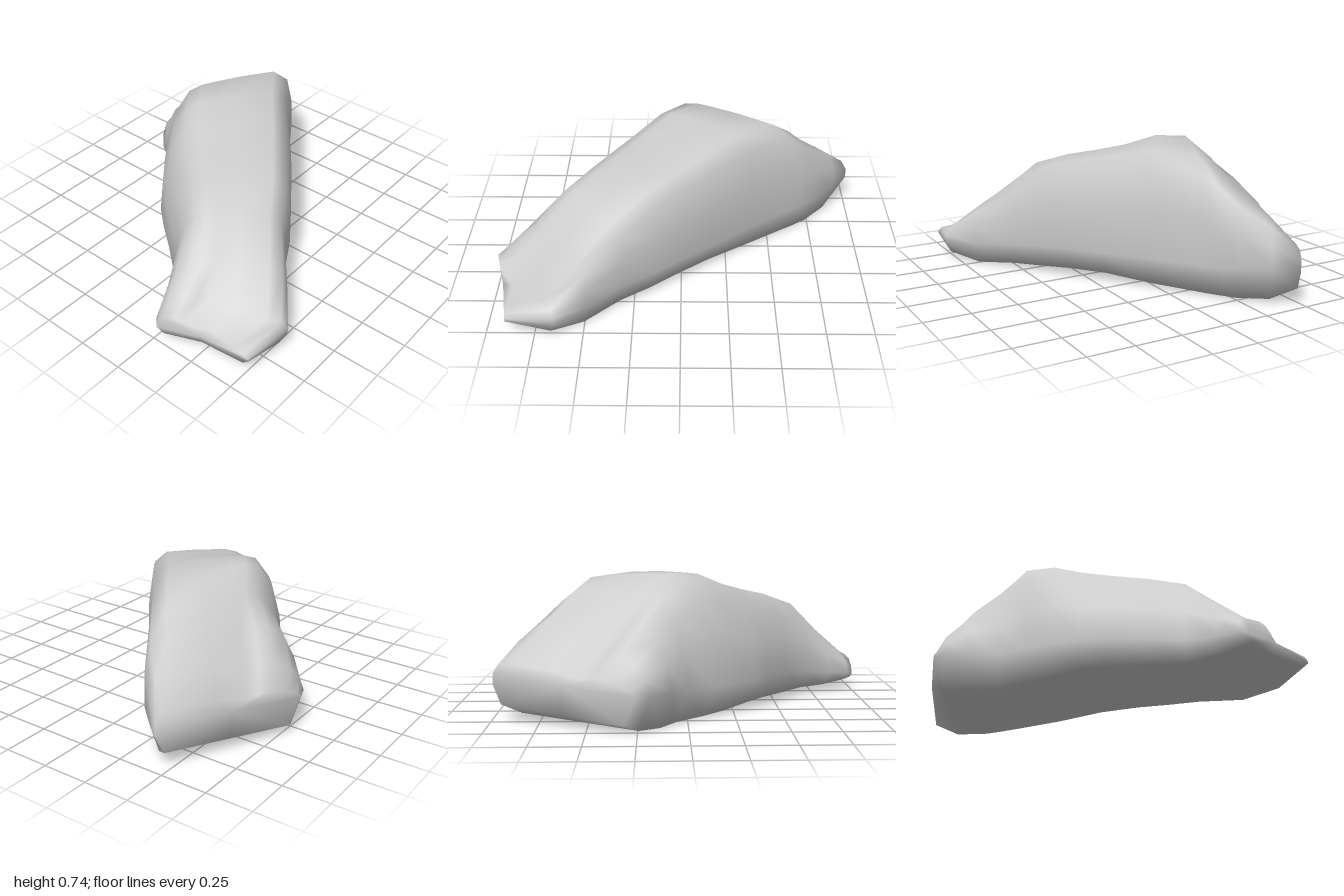
import * as THREE from 'three';

// Stations along the boulder: s at left edge, s at right edge, left edge t, right edge t,
// top height left, top height right, height of widest belt, base height left, base height right
const STATIONS = [
  [-0.69, -1.07, -0.49, 0.23, 0.25, 0.31, 0.19, 0.04, 0.09],
  [-0.62, -0.93, -0.515, 0.26, 0.37, 0.43, 0.19, 0.01, 0.02],
  [-0.48, -0.76, -0.50, 0.285, 0.52, 0.55, 0.18, 0.0, 0.01],
  [-0.34, -0.66, -0.445, 0.28, 0.64, 0.64, 0.17, 0.0, 0.01],
  [-0.16, -0.57, -0.455, 0.275, 0.77, 0.70, 0.17, 0.01, 0.01],
  [-0.03, -0.28, -0.455, 0.27, 0.745, 0.725, 0.17, 0.02, 0.02],
  [0.12, -0.02, -0.45, 0.28, 0.67, 0.68, 0.17, 0.04, 0.045],
  [0.26, 0.20, -0.42, 0.28, 0.63, 0.64, 0.17, 0.045, 0.045],
  [0.44, 0.38, -0.37, 0.275, 0.60, 0.59, 0.16, 0.04, 0.035],
  [0.64, 0.56, -0.32, 0.25, 0.56, 0.48, 0.14, 0.04, 0.02],
  [0.80, 0.80, -0.35, 0.265, 0.40, 0.33, 0.12, 0.045, 0.0],
  [0.92, 1.00, -0.385, 0.265, 0.27, 0.19, 0.11, 0.06, 0.04],
  [0.965, 1.18, -0.38, 0.08, 0.22, 0.13, 0.095, 0.07, 0.07],
];

// Cross-section outline: fraction of width, and height from base (-1) to belt (0) to top (1)
const PROFILE = [
  [0.08, -1], [0, 0], [0.03, 0.4], [0.1, 0.74], [0.21, 0.95], [0.3, 0.99], [0.4, 1], [0.6, 1.01],
  [0.85, 1], [0.955, 0.87], [0.995, 0.47], [1, 0], [0.94, -1], [0.5, -1],
];

const lerp = THREE.MathUtils.lerp;

function boulderGeometry() {
  const n = PROFILE.length, rings = STATIONS.length;
  const positions = [], index = [];

  for (const [sL, sR, tL, tR, hL, hR, belt, baseL, baseR] of STATIONS) {
    for (const [u, v] of PROFILE) {
      let s = lerp(sL, sR, u);
      const t = lerp(tL, tR, u);
      let y = v < 0 ? lerp(belt, lerp(baseL, baseR, u), -v) : lerp(belt, lerp(hL, hR, u), v);
      // Shallow grooves that divide the front and back ends into lobes
      if (s > 0.8) {
        const groove = Math.exp(-(((t + 0.08) / 0.09) ** 2));
        s -= 0.07 * groove;
        if (v > 0) y -= 0.03 * groove;
      } else if (s < -0.55 && v > 0) {
        const groove = Math.exp(-(((t + 0.2) / 0.09) ** 2));
        s += 0.03 * groove;
        y -= 0.03 * groove;
      }
      // Long axis runs diagonally from the back to the front
      positions.push(0.6 * s + 0.8 * t, y, 0.8 * s - 0.6 * t);
    }
  }

  // Skin between neighbouring sections
  for (let i = 0; i < rings - 1; i++) {
    for (let j = 0; j < n; j++) {
      const k = (j + 1) % n;
      const a = i * n + j, b = i * n + k, c = a + n, d = b + n;
      index.push(a, c, b, b, c, d);
    }
  }

  // End caps
  for (const ring of [0, rings - 1]) {
    const centre = new THREE.Vector3();
    for (let j = 0; j < n; j++) {
      centre.add(new THREE.Vector3().fromArray(positions, (ring * n + j) * 3));
    }
    centre.divideScalar(n);
    const m = positions.length / 3;
    positions.push(centre.x, centre.y, centre.z);
    for (let j = 0; j < n; j++) {
      const a = ring * n + j, b = ring * n + (j + 1) % n;
      if (ring === 0) index.push(m, a, b);
      else index.push(m, b, a);
    }
  }

  const geometry = new THREE.BufferGeometry();
  geometry.setAttribute('position', new THREE.Float32BufferAttribute(positions, 3));
  geometry.setIndex(index);
  geometry.computeVertexNormals();
  return geometry;
}

export function createModel() {
  const group = new THREE.Group();
  group.name = 'rock';
  const stone = new THREE.MeshStandardMaterial({ color: 0xcccccc });
  stone.name = 'grey stone';
  const boulder = new THREE.Mesh(boulderGeometry(), stone);
  boulder.name = 'boulder';
  group.add(boulder);
  return group;
}
